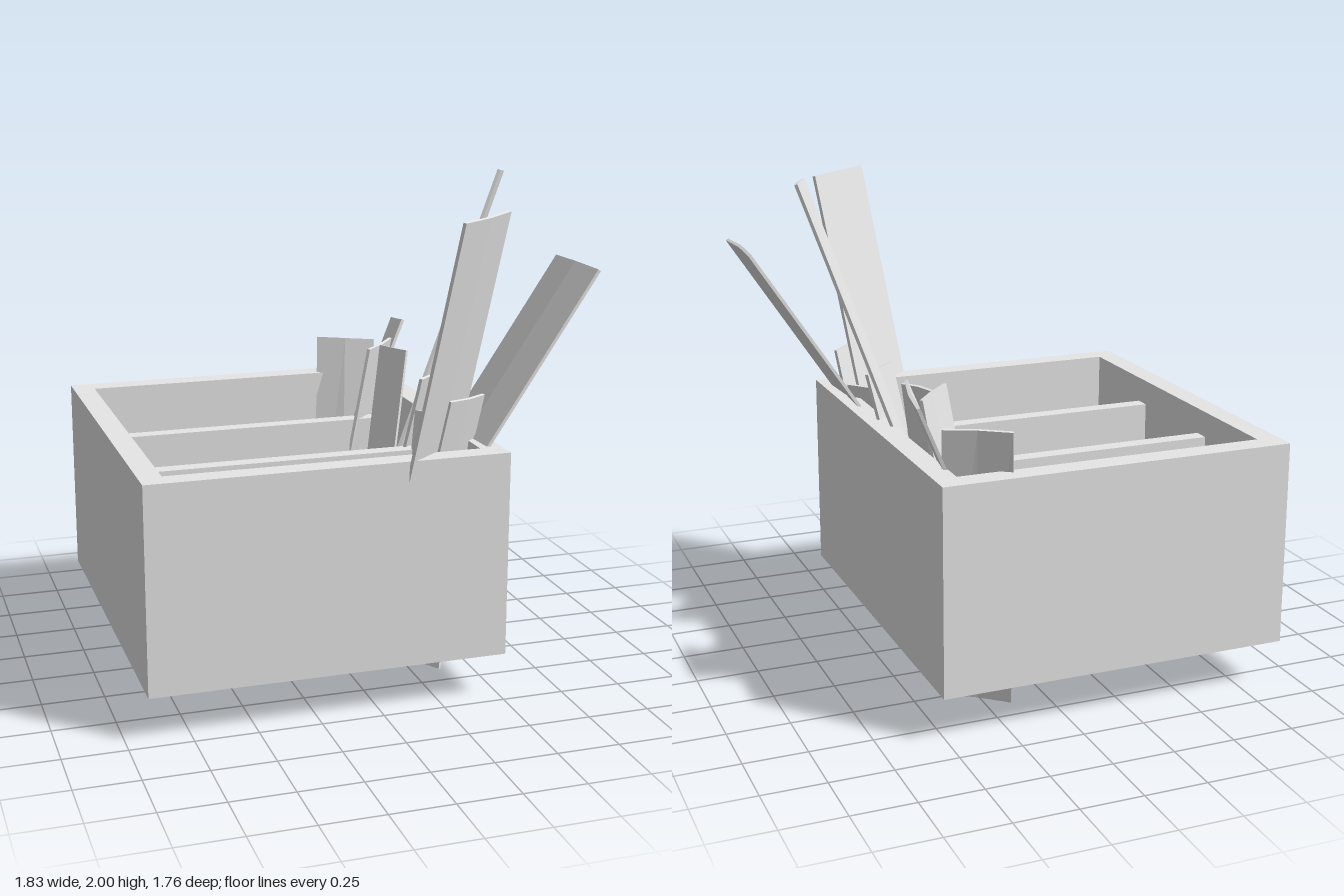
import * as THREE from 'three';

export function createModel() {
  const group = new THREE.Group();
  const grey = new THREE.MeshStandardMaterial({ color: 0xe6e6e6, side: THREE.DoubleSide, flatShading: true });
  grey.name = 'light grey';

  const add = (name, geometry) => {
    const mesh = new THREE.Mesh(geometry, grey);
    mesh.name = name;
    group.add(mesh);
    return mesh;
  };

  const TOP = 1.005, BASE = 0.18, FLOOR = 0.24;
  const OUTER = [-0.915, 0.515, -0.88, 0.72], INNER = [-0.825, 0.425, -0.785, 0.63];

  // Four thin upright walls round a rectangle, open above and below
  const walls = (name, [x0, x1, z0, z1], y0, y1) => {
    const g = new THREE.CylinderGeometry(Math.SQRT1_2, Math.SQRT1_2, 1, 4, 1, true);
    g.rotateY(Math.PI / 4).scale(x1 - x0, y1 - y0, z1 - z0);
    add(name, g).position.set((x0 + x1) / 2, (y0 + y1) / 2, (z0 + z1) / 2);
  };
  const block = (name, x0, x1, y0, y1, z0, z1) =>
    add(name, new THREE.BoxGeometry(x1 - x0, y1 - y0, z1 - z0))
      .position.set((x0 + x1) / 2, (y0 + y1) / 2, (z0 + z1) / 2);
  const rect = (Type, [x0, x1, z0, z1]) => new Type().setFromPoints(
    [[x0, -z0], [x1, -z0], [x1, -z1], [x0, -z1], [x0, -z0]].map(([x, y]) => new THREE.Vector2(x, y)));
  const flat = (name, shape, y) =>
    add(name, new THREE.ShapeGeometry(shape).rotateX(-Math.PI / 2)).position.set(0, y, 0);

  // Hollow box: outer shell, inner tray, rim joining them and raised floor
  walls('outerWalls', OUTER, BASE, TOP);
  walls('innerWalls', INNER, FLOOR, TOP);
  const rim = rect(THREE.Shape, OUTER);
  rim.holes.push(rect(THREE.Path, INNER));
  flat('rim', rim, TOP);
  flat('boxFloor', rect(THREE.Shape, INNER), FLOOR);

  // Dividers, a little lower than the rim
  block('backDivider', -0.825, 0.425, FLOOR, 0.9, -0.38, -0.315);
  block('frontDivider', -0.825, 0.425, FLOOR, 0.9, 0.155, 0.22);

  // Thin leaning plate with a faint ridge along its middle.
  // top and bottom are the middles of the end edges; edge spans the width.
  const plate = (name, top, bottom, edgeTop, edgeBottom = edgeTop) => {
    const [t, b, et, eb] = [top, bottom, edgeTop, edgeBottom].map((a) => new THREE.Vector3(...a));
    const normal = et.clone().cross(t.clone().sub(b)).normalize();
    const g = new THREE.BoxGeometry(1, 1, 0.013, 2, 1, 1);
    const p = g.attributes.position;
    for (let i = 0; i < p.count; i++) {
      const u = p.getX(i), s = p.getY(i) + 0.5;
      const q = b.clone().lerp(t, s)
        .addScaledVector(eb.clone().lerp(et, s), u)
        .addScaledVector(normal, p.getZ(i) + 0.004 - 0.016 * Math.abs(u));
      p.setXYZ(i, q.x, q.y, q.z);
    }
    g.computeVertexNormals();
    add(name, g);
  };

  plate('tallFrontPlate', [0.388, 1.915, 0.748], [0.143, 0.23, 0.481], [0.285, 0, -0.255]);
  plate('wideSidePlate', [0.905, 1.675, 0.43], [-0.05, 0.23, 0.42], [0, 0, 0.38]);
  plate('shortFrontPlate', [0.39, 1.195, 0.58], [0.238, 0.23, 0.438], [0.2, -0.02, -0.15]);
  plate('lowPlate', [0.39, 1.06, 0.3], [0.255, 0.06, 0.41], [0.14, 0, 0.21], [0.12, 0, 0.22]);
  plate('middlePlate', [0.42, 1.19, 0.128], [0.23, 0.23, 0.01], [0.16, 0, -0.17], [0.13, 0, -0.14]);
  plate('tallStrip', [0.778, 1.993, -0.045], [0.13, 0.23, -0.055], [0.05, -0.01, -0.08]);
  plate('innerPlate', [0.395, 1.215, -0.285], [0.235, 0.23, -0.16], [0.07, 0, 0.14]);
  plate('crossedPlate', [0.37, 1.215, -0.38], [0.175, 0.06, -0.45], [0.17, 0, -0.2], [0.16, 0, -0.18]);
  plate('leaningPlate', [0.53, 1.275, -0.595], [0.07, 0.23, -0.485], [0.04, -0.04, -0.25]);
  plate('backPlate', [0.335, 1.165, -0.765], [0.26, 0.007, -0.57], [0.23, 0, 0.13], [0.23, 0.01, 0.15]);

  return group;
}
